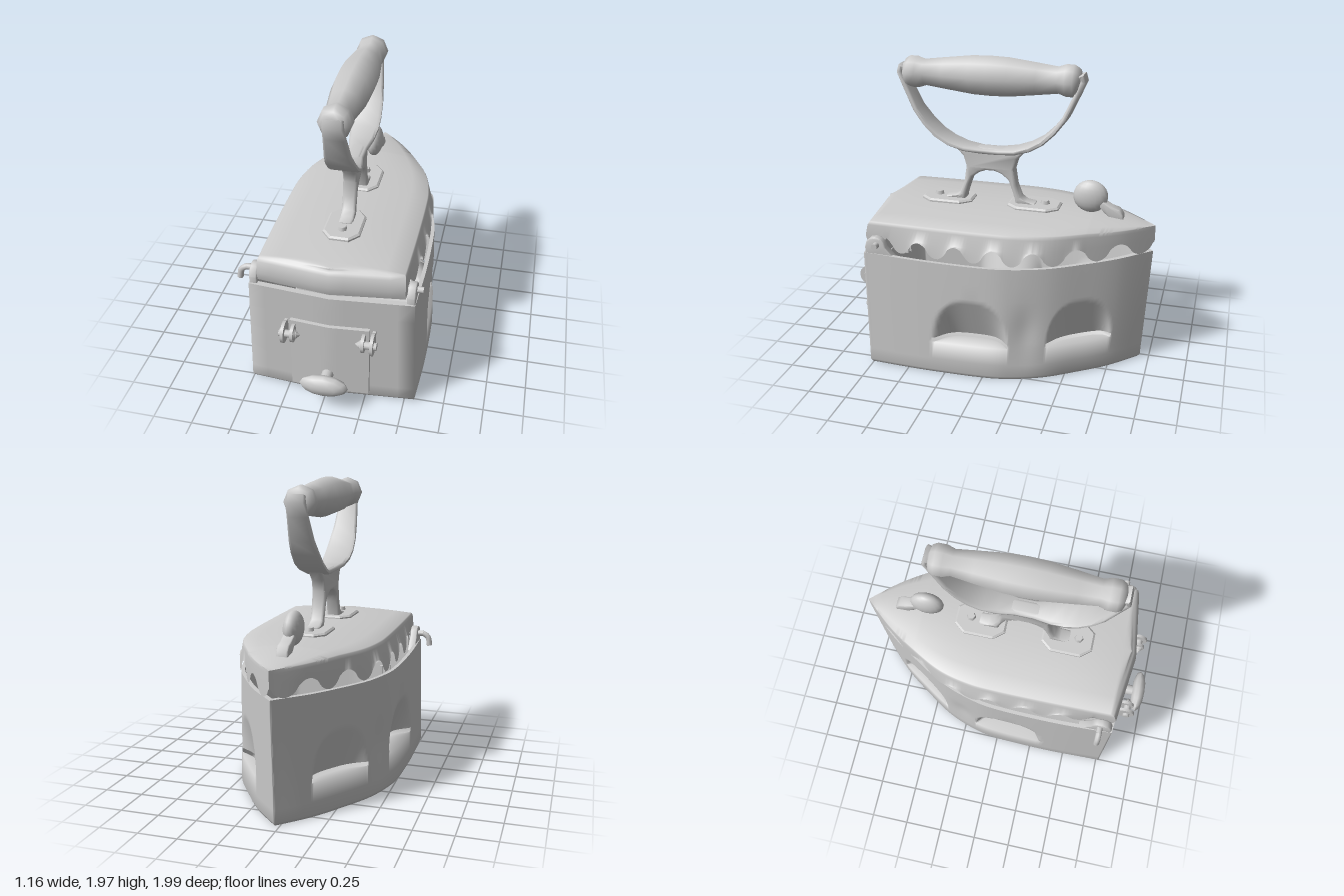
import * as THREE from 'three';
import { toCreasedNormals } from 'three/addons/utils/BufferGeometryUtils.js';

const CX = 0.03; // centre line of the iron
const V = (x, y, z) => new THREE.Vector3(x, y, z);
const mat = new THREE.MeshStandardMaterial({ color: 0xcccccc });
const thin = new THREE.MeshStandardMaterial({ color: 0xcccccc, side: THREE.DoubleSide });
const clamp = THREE.MathUtils.clamp;

function add(parent, name, geo, x = 0, y = 0, z = 0, material = mat) {
  const m = new THREE.Mesh(geo, material);
  m.name = name;
  m.position.set(x, y, z);
  parent.add(m);
  return m;
}

// Skin over rows of points; skip(row, column) leaves a quad open
function skin(rows, crease, skip = () => false) {
  const n = rows[0].length, pos = [], idx = [];
  rows.forEach(r => r.forEach(p => pos.push(p.x, p.y, p.z)));
  for (let j = 0; j < rows.length - 1; j++) {
    for (let i = 0; i < n - 1; i++) {
      if (skip(j, i)) continue;
      const a = j * n + i, b = a + 1, c = b + n, d = a + n;
      idx.push(a, b, c, a, c, d);
    }
  }
  const g = new THREE.BufferGeometry();
  g.setAttribute('position', new THREE.Float32BufferAttribute(pos, 3));
  g.setIndex(idx);
  return toCreasedNormals(g, crease);
}

// Outline loop: front centre, left side, tip, right side, front centre
function outline(points, frontZ) {
  const side = new THREE.SplineCurve(points.map(p => new THREE.Vector2(...p))).getPoints(140);
  const [hw, cornerZ] = points[0];
  const half = [];
  for (let i = 0; i < 5; i++) half.push({ x: hw * i / 5, z: frontZ + (cornerZ - frontZ) * i / 5, front: true });
  side.forEach(p => half.push({ x: Math.max(p.x, 0), z: p.y, front: false }));
  half[half.length - 1].x = 0;
  const mirrored = half.slice(0, -1).reverse().map(p => ({ ...p, x: -p.x }));
  return half.concat(mirrored);
}

// Profile in (z, y) extruded across x, centred on x
function sideExtrude(pts, width, bevel = 0.008) {
  const s = new THREE.Shape(pts.map(p => new THREE.Vector2(...p)));
  const g = new THREE.ExtrudeGeometry(s, {
    depth: width - 2 * bevel, bevelEnabled: true, bevelSize: bevel, bevelThickness: bevel, bevelOffset: -bevel, bevelSegments: 2,
  });
  g.translate(0, 0, -width / 2 + bevel);
  g.rotateY(-Math.PI / 2);
  return toCreasedNormals(g, 0.8);
}

const rod = (r1, r2, len, seg = 12) => new THREE.CylinderGeometry(r1, r2, len, seg);

// Depth of the two arched vents pressed into each side
const vents = [{ c: 0.08, w: 0.245, top: 0.53, d: 0.12 }, { c: -0.595, w: 0.195, top: 0.52, d: 0.085 }];
function ventDepth(z, y) {
  if (y < 0.24) return 0;
  for (const v of vents) {
    const u = Math.abs(z - v.c) / v.w;
    if (u >= 1) continue;
    const top = 0.25 + (v.top - 0.25) * Math.sqrt(1 - u ** 2.5);
    const t = clamp((top - y) / (v.top - 0.245), 0, 1);
    return v.d * t * (1 - u ** 6);
  }
  return 0;
}
// Shallow valley between the vents
const valley = (z, y) => 0.018 * Math.exp(-(((z + 0.27) / 0.08) ** 2) - ((y - 0.33) / 0.16) ** 2);

function makeBody(g) {
  const loop = outline([[0.513, 0.782], [0.525, 0.4], [0.515, 0], [0.482, -0.2], [0.412, -0.4], [0.297, -0.6], [0.165, -0.8], [0, -0.985]], 0.827);
  const ys = [];
  for (let y = 0.265; y < 0.56; y += 0.02) ys.push(y);
  ys.push(0.65, 0.78);
  const ring = (y, inset = 0, ventY = y) => loop.map(p => {
    const k = 1 - y / 0.78;
    const d = p.front ? 0 : ventDepth(p.z, ventY) + valley(p.z, y);
    const x = p.x * (1 + 0.045 * k - inset) - Math.sign(p.x) * Math.min(d, Math.abs(p.x));
    const dip = y > 0.7 ? -0.015 * Math.max(0, 1 - ((p.z + 0.1) / 0.8) ** 2) : 0;
    return V(CX + x, y + dip, p.z * (1 - (p.z < 0 ? 0.045 : 0.018) * k - inset));
  });
  const open = i => !loop[i].front && (ventDepth(loop[i].z, 0.247) > 0.005 || ventDepth(loop[i + 1].z, 0.247) > 0.005);
  const sole = loop.map(p => V(CX, 0, p.z * 0.92));
  // Row 5 is the sill of the vents, with the slit open above it
  const rows = [sole, ring(0, 0.015), ring(0.02), ring(0.1), ring(0.22), ring(0.22, 0, 0.247), ring(0.247), ...ys.map(y => ring(y))];
  add(g, 'body', skin(rows, 2, (j, i) => j === 5 && open(i)), 0, 0, 0, thin);
  add(g, 'bodyRim', skin([ring(0.78), ring(0.78, 0.045), ring(0.7, 0.045)], 0.6), 0, 0, 0, thin);
}

function makeLid(g) {
  const loop = outline([[0.455, 0.785], [0.462, 0.4], [0.462, 0], [0.45, -0.2], [0.402, -0.4], [0.298, -0.6], [0.168, -0.8], [0, -0.99]], 0.84);
  const edgeY = z => 0.968 - 0.02 * clamp((-z - 0.6) / 0.4, 0, 1);
  const crown = z => 0.04 * Math.max(0, 1 - (z / 0.95) ** 4);
  // Scalloped lower edge of the skirt, flaring out towards the body wall
  const hem = p => {
    if (p.front || p.z > 0.665) return 0.815;
    const c = Math.cos((p.z - 0.31) / 0.245 * Math.PI * 2);
    return 0.828 - 0.046 * Math.sign(c) * Math.abs(c) ** 0.7;
  };
  const flare = p => 0.07 * clamp((0.66 - p.z) / 0.25, 0, 1) * clamp((p.z + 0.6) / 0.3, 0, 1);
  const ring = (fy, sx, sz = 1, fl = 0) => loop.map(p => {
    const s = p.z > 0 ? sz : 1;
    return V(CX + p.x * (sx + fl * flare(p)), fy(p), p.z * s);
  });
  const top = f => ring(p => edgeY(p.z) + 0.006 + crown(p.z) * (1 - f * f), f * 0.97, 0.955);
  const rows = [
    ring(hem, 1, 0.985, 1), ring(p => Math.max(hem(p), 0.875), 1, 1.005, 0.6),
    ring(p => edgeY(p.z) - 0.02, 0.995, 0.985), ring(p => edgeY(p.z), 0.985, 0.97),
    top(1), top(0.75), top(0.5), top(0.25), top(0),
  ];
  add(g, 'lid', skin(rows, 1.2), 0, 0, 0, thin);
}

// Lugs and pins holding the lid at the front corners
function makeLidHinge(g) {
  const pts = [[0.56, 0.74], [0.77, 0.74], [0.775, 0.82]];
  for (let i = 0; i <= 6; i++) {
    const a = i / 6 * Math.PI;
    pts.push([0.705 + 0.068 * Math.cos(a), 0.825 + 0.065 * Math.sin(a)]);
  }
  for (const s of [-1, 1]) {
    add(g, 'lidLug', sideExtrude(pts, 0.05), CX + s * 0.487);
    add(g, 'lidPin', rod(0.02, 0.02, 0.14).rotateZ(Math.PI / 2), CX + s * 0.48, 0.84, 0.695);
  }
  const hook = new THREE.CatmullRomCurve3([V(-0.47, 0.84, 0.695), V(-0.52, 0.838, 0.695), V(-0.552, 0.815, 0.695), V(-0.565, 0.755, 0.695)]);
  add(g, 'pinHook', new THREE.TubeGeometry(hook, 12, 0.02, 8), 0, 0, 0, thin);
}

function makeDoor(g) {
  const door = new THREE.BoxGeometry(0.5, 0.515, 0.03, 8, 1, 1);
  const p = door.attributes.position;
  for (let i = 0; i < p.count; i++) p.setZ(i, p.getZ(i) - 0.08 * Math.abs(p.getX(i)));
  add(g, 'door', toCreasedNormals(door, 0.5), CX, 0.317, 0.832);

  for (const s of [-1, 1]) {
    const h = new THREE.Group();
    h.name = 'doorHinge';
    h.position.set(CX + s * 0.25, 0.503, 0.857);
    g.add(h);
    for (const [x, r] of [[0.027, 0.07], [-0.03, 0.058]]) {
      add(h, 'hingeLeaf', rod(r, r, 0.02, 14).rotateZ(Math.PI / 2), s * x, 0, 0);
      add(h, 'hingeArm', new THREE.BoxGeometry(0.02, r * 1.6, 0.08), s * x, 0, -0.04);
    }
    add(h, 'hingePin', rod(0.024, 0.024, 0.11, 10).rotateZ(Math.PI / 2), 0, 0, 0.015);
    add(h, 'pinTip', new THREE.ConeGeometry(0.035, 0.04, 8).rotateZ(s * Math.PI / 2), -s * 0.06, 0, 0.015);
  }

  add(g, 'knobStem', rod(0.035, 0.04, 0.13, 12).rotateX(Math.PI / 2), 0.02, 0.19, 0.88);
  const prof = [[0, -0.045], [0.55, -0.042], [0.9, -0.025], [1, 0], [0.85, 0.022], [0.5, 0.042], [0, 0.047]].map(q => new THREE.Vector2(...q));
  const knob = new THREE.LatheGeometry(prof, 12).rotateX(Math.PI / 2).scale(0.155, 0.076, 1);
  add(g, 'doorKnob', toCreasedNormals(knob, 1.2), 0.02, 0.192, 0.953, thin);
}

function makeHandle(g) {
  const mid = 0.085; // handle centre along z
  // Turned grip
  const prof = [[0, -0.575], [0.05, -0.575], [0.085, -0.56], [0.102, -0.53], [0.102, -0.48], [0.085, -0.43], [0.102, -0.3], [0.124, -0.12], [0.128, 0]];
  const all = prof.concat(prof.slice(0, -1).map(([r, y]) => [r, -y]).reverse()).map(q => new THREE.Vector2(...q));
  add(g, 'grip', toCreasedNormals(new THREE.LatheGeometry(all, 8).rotateX(Math.PI / 2), 1.0), 0.029, 1.845, mid, thin);

  // U-shaped strap, bent over at both ends: [z offset, y, half width]
  const half = [[0.555, 1.84, 0.05], [0.565, 1.875, 0.055], [0.583, 1.885, 0.058], [0.592, 1.85, 0.062], [0.555, 1.765, 0.066], [0.485, 1.615, 0.08], [0.42, 1.53, 0.09], [0.345, 1.457, 0.094], [0.265, 1.41, 0.092], [0.17, 1.378, 0.08], [0.06, 1.365, 0.06]];
  const path = half.concat(half.map(([z, y, w]) => [-z, y, w]).reverse());
  const rows = path.map(([z, y, w], i) => {
    const a = path[Math.max(i - 1, 0)], b = path[Math.min(i + 1, path.length - 1)];
    const t = new THREE.Vector2(b[0] - a[0], b[1] - a[1]).normalize().multiplyScalar(0.017);
    const c = (sx, sn) => V(0.033 + sx * w, y + sn * t.x, mid + z - sn * t.y);
    return [c(-1, -0.5), c(-1, 0.5), c(-0.8, 1), c(0.8, 1), c(1, 0.5), c(1, -0.5), c(0.8, -1), c(-0.8, -1), c(-1, -0.5)];
  });
  add(g, 'strap', skin(rows, 1.1), 0, 0, 0, thin);

  // Arched pair of legs
  const out = [[0.24, 1.385], [0.18, 1.32], [0.16, 1.25], [0.175, 1.15], [0.205, 1.07], [0.24, 1.045], [0.3, 1.035], [0.3, 1.015], [0.17, 1.015], [0.165, 1.05], [0.14, 1.13], [0.12, 1.18], [0.075, 1.215], [0.03, 1.232]];
  const legs = out.concat(out.map(([z, y]) => [-z, y]).reverse());
  add(g, 'legs', sideExtrude(legs, 0.092, 0.018), 0.03, 0, mid);

  // Foot plates with chamfered corners, and bolts
  for (const s of [-1, 1]) {
    const plate = new THREE.Shape([[-0.17, -0.06], [-0.1, -0.118], [0.1, -0.118], [0.17, -0.06], [0.17, 0.06], [0.1, 0.118], [-0.1, 0.118], [-0.17, 0.06]].map(q => new THREE.Vector2(...q)));
    const pg = new THREE.ExtrudeGeometry(plate, { depth: 0.03, bevelEnabled: true, bevelSize: 0.012, bevelThickness: 0.01, bevelOffset: -0.012, bevelSegments: 1 });
    pg.rotateX(-Math.PI / 2).rotateY(Math.PI / 2);
    add(g, 'footPlate', pg, 0.027, 0.99, mid + s * 0.29);
    add(g, 'bolt', rod(0.025, 0.035, 0.035, 6), 0.027, 1.035, mid + s * 0.36);
  }
}

// Thumb latch near the tip
function makeLatch(g) {
  add(g, 'latchKnob', new THREE.SphereGeometry(1, 18, 12).scale(0.058, 0.106, 0.112), 0.028, 1.11, -0.57);
  const arm = [[-0.62, 1.07], [-0.66, 1.02], [-0.69, 0.995], [-0.72, 0.965], [-0.79, 0.965], [-0.785, 1.01], [-0.76, 1.045], [-0.71, 1.06], [-0.66, 1.09]];
  add(g, 'latchArm', sideExtrude(arm, 0.075, 0.01), 0.028);
}

export function createModel() {
  const g = new THREE.Group();
  g.name = 'charcoalIron';
  [makeBody, makeLid, makeLidHinge, makeDoor, makeHandle, makeLatch].forEach(f => f(g));
  return g;
}
